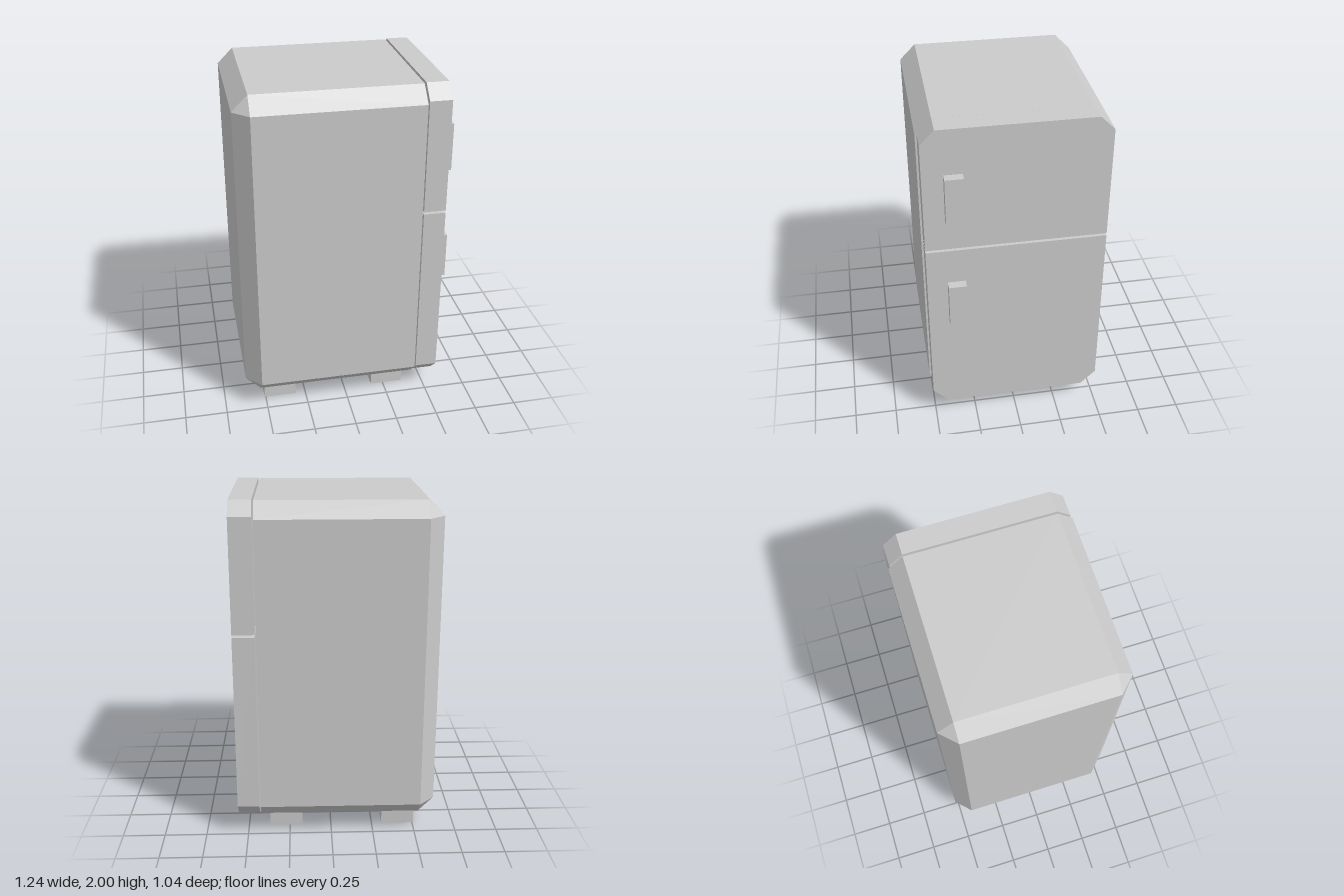
import * as THREE from 'three';
import { ConvexGeometry } from 'three/addons/geometries/ConvexGeometry.js';

const material = new THREE.MeshStandardMaterial({ color: 0xcccccc, flatShading: true });

export function createModel() {
  const model = new THREE.Group();
  model.name = 'refrigerator';

  const add = (name, geometry, x = 0, y = 0, z = 0) => {
    const mesh = new THREE.Mesh(geometry, material);
    mesh.name = name;
    mesh.position.set(x, y, z);
    model.add(mesh);
  };

  // Box given by its minimum and maximum corners
  const addBox = (name, [x0, y0, z0], [x1, y1, z1]) =>
    add(name, new THREE.BoxGeometry(x1 - x0, y1 - y0, z1 - z0),
      (x0 + x1) / 2, (y0 + y1) / 2, (z0 + z1) / 2);

  // Outline in (z, y) with separate corner cuts at the bottom and top
  const outline = (w, y0, y1, cutBottom, cutTop) => {
    const half = [
      [w - cutBottom, y0], [w, y0 + cutBottom],
      [w, y1 - cutTop], [w - cutTop, y1],
    ];
    const mirrored = half.map(([z, y]) => [-z, y]).reverse();
    return [...half, ...mirrored].filter(([z, y], i, a) =>
      i === 0 || z !== a[i - 1][0] || y !== a[i - 1][1]);
  };

  // Cabinet: octagonal prism tapering by a bevel to its rear panel
  const bevel = 0.09;
  const w = 0.52, bottom = 0.1, top = 1.995;
  const points = [];
  for (const [z, y] of outline(w, bottom, top, bevel, bevel)) {
    points.push(new THREE.Vector3(0.42, y, z), new THREE.Vector3(-0.53, y, z));
  }
  for (const z of [-w + bevel, w - bevel]) {
    for (const y of [bottom + bevel, top - bevel]) points.push(new THREE.Vector3(-0.62, y, z));
  }
  add('cabinet', new ConvexGeometry(points));

  // Doors: flat slabs following the cabinet outline
  const addDoor = (name, y0, y1, cutBottom, cutTop) => {
    const shape = new THREE.Shape(
      outline(0.51, y0, y1, cutBottom, cutTop).map(([z, y]) => new THREE.Vector2(z, y)));
    const geometry = new THREE.ExtrudeGeometry(shape, { depth: 0.128, bevelEnabled: false });
    add(name, geometry.rotateY(Math.PI / 2), 0.43);
  };
  addDoor('freezerDoor', 1.26, 2, 0, 0.08);
  addDoor('mainDoor', 0.1, 1.245, 0.09, 0);

  // Handles
  addBox('freezerHandle', [0.562, 1.456, 0.293], [0.614, 1.736, 0.395]);
  addBox('mainHandle', [0.565, 0.757, 0.293], [0.617, 1.033, 0.395]);

  // Feet
  for (const [endName, x] of [['rear', -0.507], ['front', 0.174]]) {
    for (const [sideName, z] of [['Left', -0.398], ['Right', 0.2]]) {
      addBox(`${endName}${sideName}Foot`, [x, 0, z], [x + 0.197, 0.1, z + 0.196]);
    }
  }

  return model;
}
